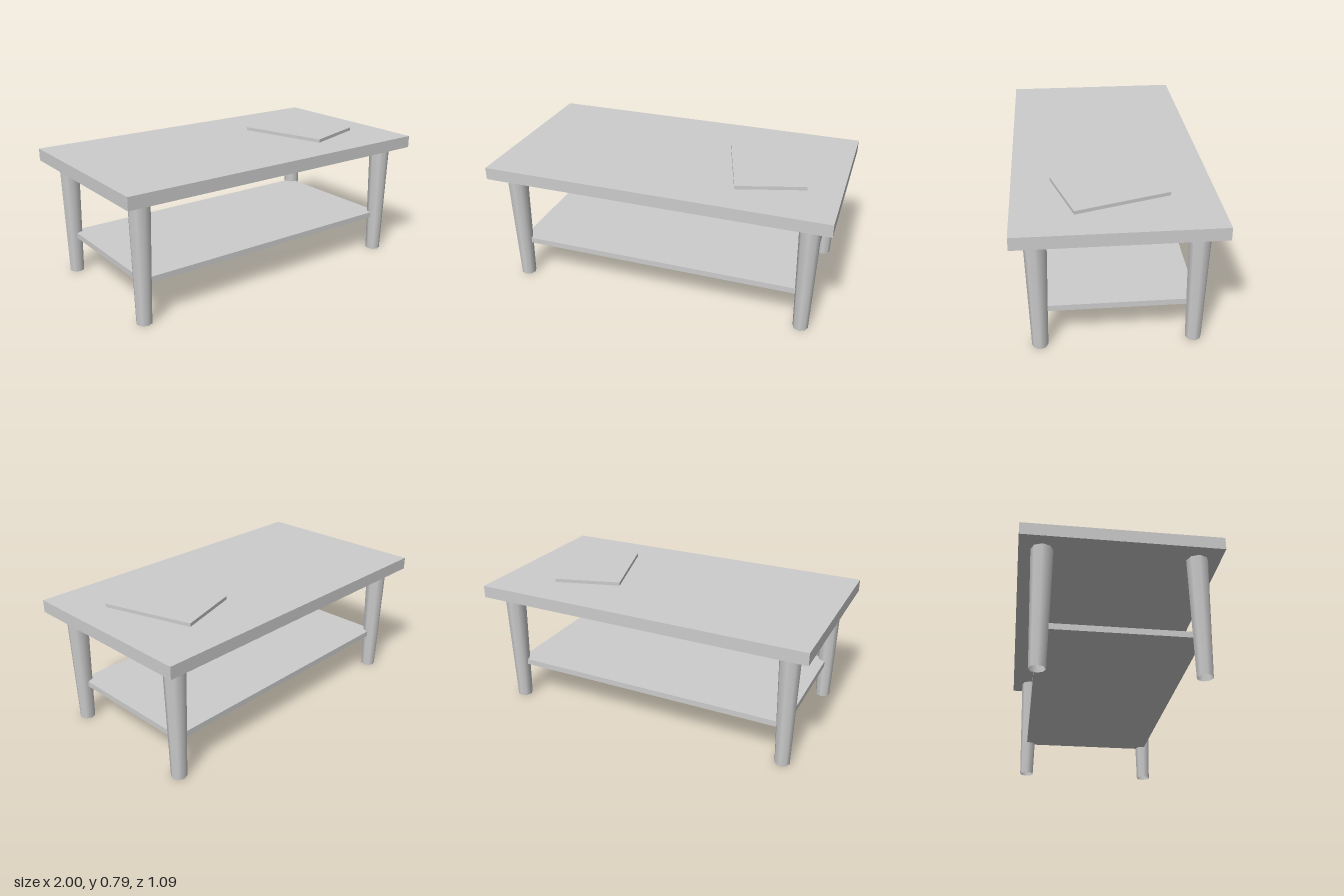
import * as THREE from 'three';

export function createModel() {
  const model = new THREE.Group();
  const grey = new THREE.MeshStandardMaterial({ color: 0xcccccc, side: THREE.DoubleSide });
  grey.name = 'plain grey';

  function addPart(name, geometry, x, y, z) {
    const mesh = new THREE.Mesh(geometry, grey);
    mesh.name = name;
    mesh.position.set(x, y, z);
    model.add(mesh);
    return mesh;
  }

  // Table top and the lower shelf, whose corners sit inside the legs
  addPart('tableTop', new THREE.BoxGeometry(2, 0.072, 1.088), 0, 0.73, 0);
  addPart('shelf', new THREE.BoxGeometry(1.75, 0.034, 0.85), 0, 0.239, 0);

  // Thin book lying askew on the top
  const book = addPart('book', new THREE.BoxGeometry(0.397, 0.02, 0.54), 0.54, 0.776, 0.016);
  book.rotation.y = 0.295;

  // Four tapered legs, open at the foot
  const legGeometry = new THREE.CylinderGeometry(0.061, 0.044, 0.695, 8, 1, true);
  for (const [side, x] of [['Left', 0.872], ['Right', -0.872]]) {
    for (const [end, z] of [['front', 0.419], ['back', -0.419]]) {
      addPart(`${end}${side}Leg`, legGeometry, x, 0.3475, z);
    }
  }
  return model;
}
